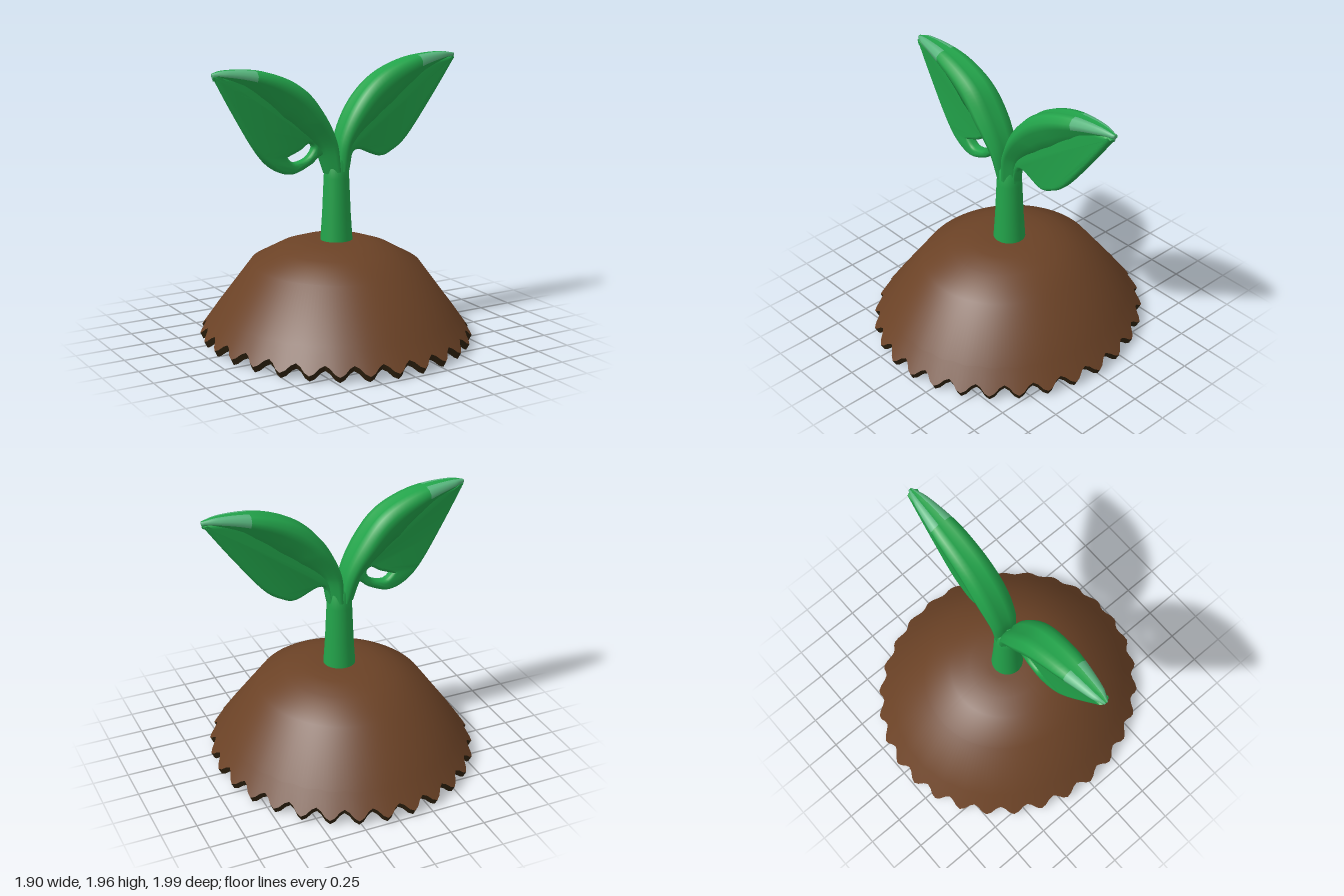
import * as THREE from 'three';
import { toCreasedNormals } from 'three/addons/utils/BufferGeometryUtils.js';

const material = (name, color) => {
  const m = new THREE.MeshStandardMaterial({ color });
  m.name = name;
  return m;
};
const vectors = (list) => list.map(([x, y]) => new THREE.Vector2(x, y));

// Lathed shell; rows within the rim zone swell outward and down into 30 teeth.
function toothedShell(profile) {
  const geo = new THREE.LatheGeometry(vectors(profile), 180);
  const pos = geo.attributes.position;
  for (let i = 0; i < pos.count; i++) {
    const x = pos.getX(i), z = pos.getZ(i), r = Math.hypot(x, z);
    if (r < 0.84) continue;
    const amount = r > 0.92 ? 1 : 0.15;
    const wave = amount * (0.5 + 0.5 * Math.cos(30 * Math.atan2(z, x)));
    const k = (r + 0.047 * wave) / r;
    pos.setXYZ(i, x * k, pos.getY(i) - 0.062 * wave, z * k);
  }
  geo.scale(0.935, 1, 1);
  geo.translate(-0.018, 0, 0);
  return toCreasedNormals(geo, 0.45);
}

// Rib section: [depth below crest, half width], with a shallow groove on top.
const half = [[0.08, 0], [0, 0.3], [0.04, 0.7], [0.2, 1], [0.42, 0.95], [0.7, 0.5], [1, 0.3]];
const section = [...half, ...half.slice(1).reverse().map(([d, w]) => [d, -w])];

// Rib frame along the upper leaf edge; stations are [x, y, depth, half width].
function ribFrame(stations, side) {
  const path = new THREE.CatmullRomCurve3(stations.map((s) => new THREE.Vector3(s[0], s[1], 0)));
  const size = new THREE.CatmullRomCurve3(stations.map((s) => new THREE.Vector3(s[2], s[3], 0)));
  return (t, d, w) => {
    const p = path.getPoint(t), s = size.getPoint(t), tan = path.getTangent(t);
    return [p.x + tan.y * side * d * s.x, p.y - tan.x * side * d * s.x, w * s.y * side];
  };
}

// Thick rib, with a light crest towards the tip
function ribGeometry(frame) {
  const steps = 48, n = section.length;
  const points = [], green = [], light = [];
  for (let i = 0; i <= steps; i++) {
    for (const [d, w] of section) points.push(...frame(i / steps, d, w));
    if (i === steps) break;
    const nearTip = Math.abs(frame(i / steps, 0, 0)[0]) > 0.6;
    for (let j = 0; j < n; j++) {
      const k = (j + 1) % n, a = i * n + j, b = i * n + k;
      const crest = j > 0 && k > 0 && Math.max(section[j][0], section[k][0]) < 0.45;
      (nearTip && crest ? light : green).push(a, b, a + n, b, b + n, a + n);
    }
  }
  const last = steps * n;
  for (let j = 1; j < n - 1; j++) light.push(last, last + j, last + j + 1);
  const geo = new THREE.BufferGeometry();
  geo.setAttribute('position', new THREE.Float32BufferAttribute(points, 3));
  geo.setIndex([...green, ...light]);
  geo.addGroup(0, green.length, 0);
  geo.addGroup(green.length, light.length, 1);
  geo.computeVertexNormals();
  return geo;
}

// Thin blade: smooth lower edge from tip to stem, upper edge hidden inside the rib
function bladeGeometry(frame, lower, hole) {
  const shape = new THREE.Shape();
  shape.moveTo(...lower[0]);
  shape.splineThru(vectors(lower.slice(1)));
  for (let i = 0; i <= 14; i++) {
    const [x, y] = frame(i / 15, 0.4, 0);
    shape.lineTo(x, y);
  }
  shape.closePath();
  if (hole) {
    const curve = new THREE.SplineCurve(vectors([...hole, hole[0]]));
    shape.holes.push(new THREE.Path(curve.getPoints(30).slice(0, -1)));
  }
  const geo = new THREE.ExtrudeGeometry(shape, {
    depth: 0.03, bevelThickness: 0.025, bevelSize: 0.025, bevelOffset: -0.025,
    bevelSegments: 4, curveSegments: 40,
  });
  geo.translate(0, 0, -0.015);
  return toCreasedNormals(geo, 0.7);
}

export function createModel() {
  const model = new THREE.Group();
  model.name = 'sprout';
  const soil = material('soil brown', 0x6b4226);
  const soilDark = material('dark soil', 0x2f220f);
  const green = material('leaf green', 0x22a34a);
  const lightGreen = material('light leaf tip', 0x58b67e);
  const add = (parent, name, geo, mat) => {
    const mesh = new THREE.Mesh(geo, mat);
    mesh.name = name;
    parent.add(mesh);
  };
  const addLeaf = (name, side, rib, lower, hole) => {
    const leaf = new THREE.Group();
    leaf.name = name;
    const frame = ribFrame(rib, side);
    add(leaf, 'leafRib', ribGeometry(frame), [green, lightGreen]);
    add(leaf, 'leafBlade', bladeGeometry(frame, lower, hole), green);
    model.add(leaf);
  };

  // Soil mound: outer skin, then the hollow inside with its thick ragged rim
  add(model, 'moundOuter', toothedShell([[0.953, 0.115], [0.88, 0.215], [0.62, 0.55],
    [0.42, 0.655], [0.28, 0.7], [0.15, 0.71], [0, 0.71]]), soil);
  add(model, 'moundInside', toothedShell([[0, 0.66], [0.26, 0.65], [0.59, 0.5],
    [0.85, 0.18], [0.93, 0.072], [0.953, 0.115]]), soilDark);

  // Stem
  const stem = new THREE.LatheGeometry(vectors([[0.113, 0.69], [0.099, 0.9], [0.088, 1.15],
    [0.08, 1.27], [0.04, 1.3], [0, 1.305]]), 32);
  stem.translate(-0.008, 0, 0);
  add(model, 'stem', stem, green);

  // Two folded leaves; the right one has a small hole near the stem
  addLeaf('leftLeaf', 1,
    [[-0.02, 1.2, 0.1, 0.085], [0, 1.41, 0.13, 0.1], [0.12, 1.66, 0.22, 0.115],
      [0.3, 1.835, 0.25, 0.11], [0.56, 1.94, 0.2, 0.095], [0.84, 1.965, 0.1, 0.05],
      [0.95, 1.95, 0.05, 0.015]],
    [[0.945, 1.92], [0.76, 1.66], [0.55, 1.39], [0.42, 1.295], [0.32, 1.27],
      [0.16, 1.33], [0.1, 1.295], [0.075, 1.18]]);
  addLeaf('rightLeaf', -1,
    [[0, 1.2, 0.1, 0.085], [-0.04, 1.41, 0.14, 0.11], [-0.15, 1.62, 0.2, 0.13],
      [-0.3, 1.795, 0.24, 0.125], [-0.56, 1.91, 0.19, 0.105], [-0.86, 1.935, 0.09, 0.05],
      [-0.935, 1.92, 0.05, 0.015]],
    [[-0.925, 1.9], [-0.8, 1.67], [-0.63, 1.385], [-0.51, 1.255], [-0.37, 1.205],
      [-0.225, 1.255], [-0.15, 1.31], [-0.11, 1.28], [-0.09, 1.16]],
    [[-0.4, 1.325], [-0.3, 1.365], [-0.235, 1.405], [-0.2, 1.37], [-0.25, 1.305],
      [-0.345, 1.283]]);
  return model;
}
